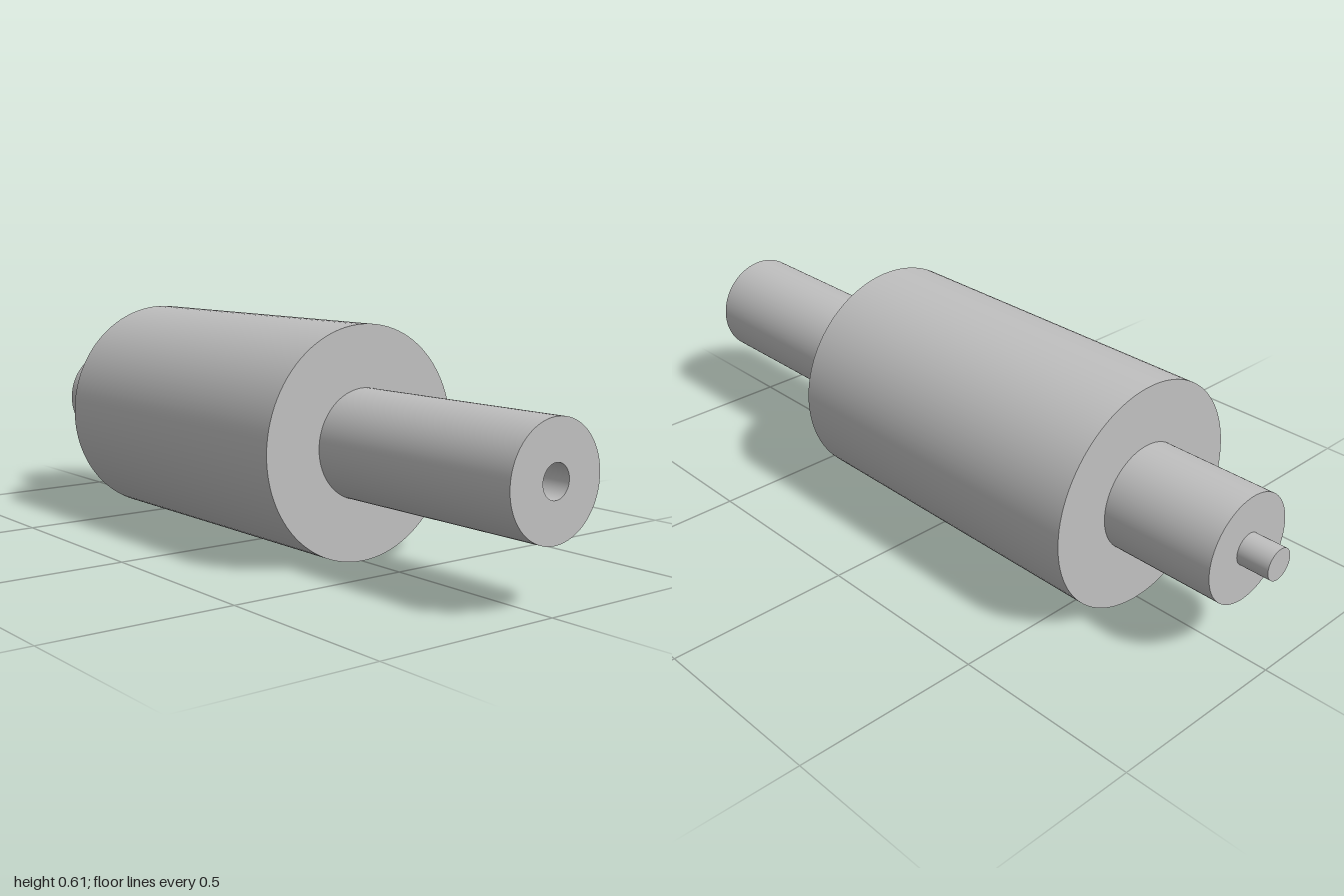
import * as THREE from 'three';
import { mergeGeometries } from 'three/addons/utils/BufferGeometryUtils.js';

const R_DRUM = 0.304, R_SHAFT = 0.143, R_PIN = 0.042;
const Z_FRONT = 1, Z_DRUM_FRONT = 0.358, Z_DRUM_BACK = -0.597, Z_SHAFT_BACK = -0.913, Z_BACK = -1;
const SOCKET_DEPTH = 0.09;

// Turn a profile of [radius, z] points, listed back to front, around the z axis;
// each segment is its own band so the corners stay crisp.
function turned(profile) {
  const bands = [];
  for (let i = 0; i < profile.length - 1; i++) {
    const points = [profile[i], profile[i + 1]].map(([r, z]) => new THREE.Vector2(r, z));
    bands.push(new THREE.LatheGeometry(points, 96));
  }
  return mergeGeometries(bands).rotateX(Math.PI / 2);
}

export function createModel() {
  const steel = new THREE.MeshStandardMaterial({ color: 0xc0c0c0 });
  steel.name = 'steelGrey';

  const parts = {
    // Wide roller body with annular end faces
    drum: [[R_SHAFT, Z_DRUM_BACK], [R_DRUM, Z_DRUM_BACK], [R_DRUM, Z_DRUM_FRONT], [R_SHAFT, Z_DRUM_FRONT]],
    // Long front shaft with a blind socket in its end
    frontShaft: [
      [R_SHAFT, Z_DRUM_FRONT], [R_SHAFT, Z_FRONT], [R_PIN, Z_FRONT],
      [R_PIN, Z_FRONT - SOCKET_DEPTH], [0, Z_FRONT - SOCKET_DEPTH],
    ],
    // Short rear shaft
    rearShaft: [[R_PIN, Z_SHAFT_BACK], [R_SHAFT, Z_SHAFT_BACK], [R_SHAFT, Z_DRUM_BACK]],
    // Small locating pin on the rear end
    rearPin: [[0, Z_BACK], [R_PIN, Z_BACK], [R_PIN, Z_SHAFT_BACK]],
  };

  const group = new THREE.Group();
  group.name = 'roller';
  for (const [name, profile] of Object.entries(parts)) {
    const mesh = new THREE.Mesh(turned(profile), steel);
    mesh.name = name;
    mesh.position.y = R_DRUM;
    group.add(mesh);
  }
  return group;
}
